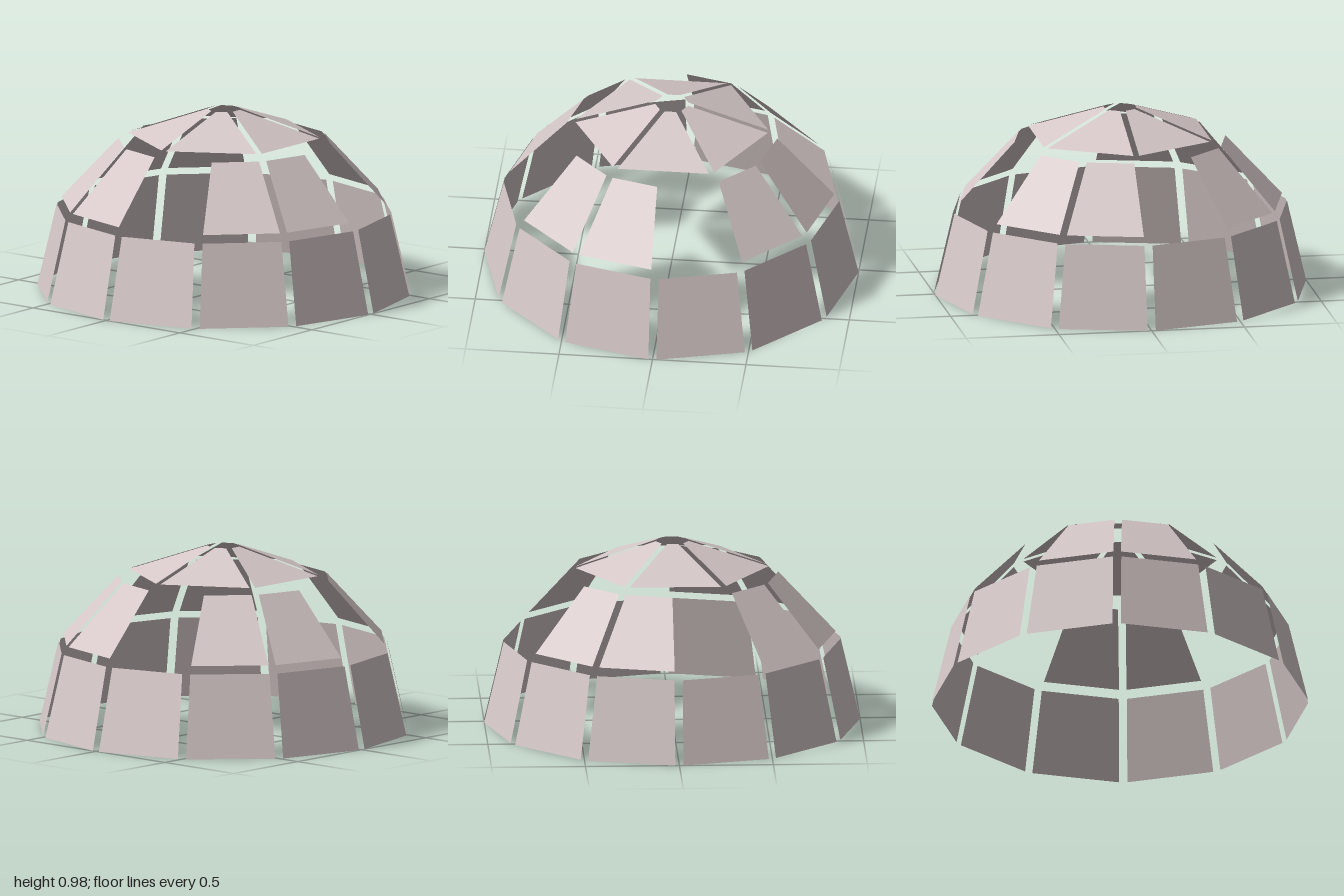
import * as THREE from 'three';

const paleStone = new THREE.MeshStandardMaterial({ color: 0xd6c8c8, side: THREE.DoubleSide });
paleStone.name = 'paleStone';

// Flat trapezoid facing +z: a = distance from the axis, y = height, gap = half seam width
function panelGeometry(sides, gap, low, high) {
  const t = Math.PI / sides;
  const half = (a) => a * Math.tan(t) - gap / Math.cos(t);
  const w0 = half(low.a), w1 = half(high.a);
  const g = new THREE.BufferGeometry();
  g.setAttribute('position', new THREE.Float32BufferAttribute([
    -w0, low.y, low.a, w0, low.y, low.a, w1, high.y, high.a, -w1, high.y, high.a,
  ], 3));
  g.setIndex([0, 1, 2, 0, 2, 3]);
  g.computeVertexNormals();
  return g;
}

// Ring of panels around y, leaving out those for which isOpen(k) holds
function panelRing(name, sides, startAngle, geometry, isOpen = () => false) {
  const ring = new THREE.Group();
  ring.name = name;
  for (let k = 0; k < sides; k++) {
    if (isOpen(k)) continue;
    const panel = new THREE.Mesh(geometry, paleStone);
    panel.name = `${name}Panel${k + 1}`;
    panel.rotation.y = startAngle + (k * 2 * Math.PI) / sides;
    ring.add(panel);
  }
  return ring;
}

export function createModel() {
  const dome = new THREE.Group();
  dome.name = 'panelDome';

  // Closed wall ring at the ground
  const wall = panelGeometry(12, 0.022, { a: 0.972, y: 0 }, { a: 0.872, y: 0.441 });
  dome.add(panelRing('wall', 12, Math.PI / 12, wall));

  // Sloping ring with every third panel left open
  const slope = panelGeometry(12, 0.02, { a: 0.846, y: 0.482 }, { a: 0.551, y: 0.811 });
  dome.add(panelRing('slope', 12, Math.PI / 12, slope, (k) => k % 3 === 0));

  // Six roof panels around a small open eye
  const roof = panelGeometry(6, 0.0155, { a: 0.453, y: 0.84 }, { a: 0.084, y: 0.983 });
  dome.add(panelRing('roof', 6, 0, roof));

  return dome;
}
